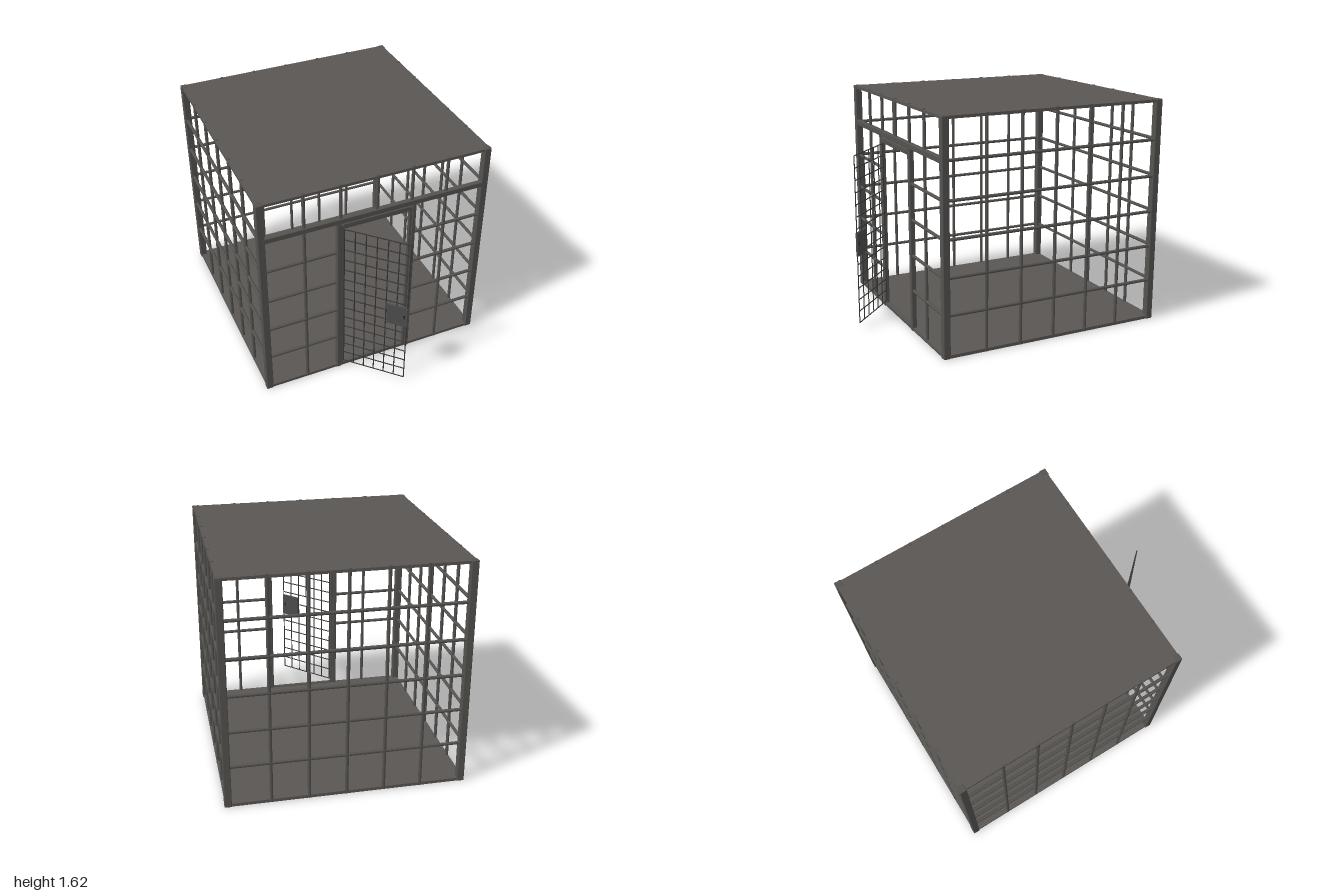
import * as THREE from 'three';
import { RoundedBoxGeometry } from 'three/addons/geometries/RoundedBoxGeometry.js';

export function createModel() {
  const model = new THREE.Group();
  model.name = 'cage';
  const material = (name, color) => {
    const m = new THREE.MeshStandardMaterial({ color });
    m.name = name;
    return m;
  };
  const plateSteel = material('plate steel', 0x5a5653);
  const barSteel = material('bar steel', 0x555350);
  const wireSteel = material('wire steel', 0x3a3938);
  const lockSteel = material('lock steel', 0x4c4c4c);
  const black = material('keyhole black', 0x161616);

  function add(parent, name, geometry, mat, x, y, z) {
    const mesh = new THREE.Mesh(geometry, mat);
    mesh.name = name;
    mesh.position.set(x, y, z);
    parent.add(mesh);
    return mesh;
  }
  const box = (parent, name, mat, w, h, d, x, y, z) =>
    add(parent, name, new THREE.BoxGeometry(w, h, d), mat, x, y, z);
  const beam = (name, w, h, d, x, y, z) =>
    add(model, name, new RoundedBoxGeometry(w, h, d, 2, 0.006), barSteel, x, y, z);

  // Round rod between two points
  function rod(parent, name, mat, r, a, b, sides = 10) {
    const from = new THREE.Vector3(...a), to = new THREE.Vector3(...b);
    const dir = to.clone().sub(from);
    const mesh = add(parent, name, new THREE.CylinderGeometry(r, r, dir.length(), sides), mat, 0, 0, 0);
    mesh.position.copy(from).add(to).multiplyScalar(0.5);
    mesh.quaternion.setFromUnitVectors(new THREE.Vector3(0, 1, 0), dir.normalize());
  }

  const CZ = -0.1625, HALF = 0.82, FRONT = CZ + HALF, BACK = CZ - HALF;
  const R = 0.0115, TOP = 1.622;
  const levels = [0.3, 0.558, 0.816, 1.074, 1.335];
  const columns = [-0.518, -0.259, 0, 0.259, 0.518];

  // Floor and roof plates
  box(model, 'floor', plateSteel, 1.66, 0.022, 1.66, 0, 0.012, CZ);
  box(model, 'roof', plateSteel, 1.66, 0.02, 1.66, 0, 1.608, CZ);

  // Corner posts
  for (const sx of [-1, 1]) {
    for (const sz of [-1, 1]) beam('cornerPost', 0.05, 1.62, 0.05, sx * 0.812, 0.81, CZ + sz * 0.812);
  }

  // Bars of the two side walls and the back wall
  for (const c of columns) {
    for (const s of [-1, 1]) rod(model, 'sideUpright', barSteel, R, [s * HALF, 0, CZ + c], [s * HALF, TOP, CZ + c]);
    rod(model, 'backUpright', barSteel, R, [c, 0, BACK], [c, TOP, BACK]);
  }
  for (const y of levels) {
    for (const s of [-1, 1]) rod(model, 'sideRail', barSteel, R, [s * HALF, y, BACK], [s * HALF, y, FRONT]);
    rod(model, 'backRail', barSteel, R, [-HALF, y, BACK], [HALF, y, BACK]);
  }

  // Front wall bars, leaving the doorway open
  for (const c of columns) {
    const bottom = Math.abs(c) > 0.4 ? 0 : 1.33;
    rod(model, 'frontUpright', barSteel, R, [c, bottom, FRONT], [c, TOP, FRONT]);
  }
  for (const y of levels.slice(0, 4)) {
    for (const s of [-1, 1]) rod(model, 'frontRail', barSteel, R, [s * 0.27, y, FRONT], [s * HALF, y, FRONT]);
  }
  beam('frontBeam', 1.6, 0.04, 0.036, 0, 1.335, FRONT);

  // Door frame
  for (const s of [-1, 1]) {
    beam('doorPost', 0.03, 1.32, 0.036, s * 0.275, 0.66, FRONT);
    beam('doorJamb', 0.024, 1.3, 0.026, s * 0.252, 0.65, FRONT);
  }
  beam('doorHeader', 0.5, 0.03, 0.036, 0, 1.297, FRONT);
  beam('doorHeaderStop', 0.5, 0.02, 0.026, 0, 1.276, FRONT);
  beam('doorSill', 0.5, 0.03, 0.026, 0, 0.017, FRONT);

  // Wire door, hinged on the right and swung open
  const door = new THREE.Group();
  door.name = 'door';
  door.position.set(-0.238, 0, 0.67);
  door.rotation.y = -Math.PI / 4;
  model.add(door);
  const W = 0.46, Y0 = 0.05, Y1 = 1.262;
  for (let i = 0; i <= 6; i++) {
    const x = (W * i) / 6;
    rod(door, 'doorUprightWire', wireSteel, 0.004, [x, Y0, 0], [x, Y1, 0], 6);
  }
  for (let i = 0; i <= 14; i++) {
    const y = Y0 + ((Y1 - Y0) * i) / 14;
    rod(door, 'doorCrossWire', wireSteel, 0.004, [0, y, 0], [W, y, 0], 6);
  }

  // Lock plate with a keyhole on both faces
  box(door, 'lockPlate', lockSteel, 0.148, 0.17, 0.014, W - 0.07, 0.63, 0);
  for (const s of [-1, 1]) {
    const hole = add(door, 'keyhole', new THREE.CylinderGeometry(0.007, 0.007, 0.002, 12), black, W - 0.018, 0.638, s * 0.0075);
    hole.rotation.x = Math.PI / 2;
    box(door, 'keyholeSlot', black, 0.006, 0.022, 0.002, W - 0.018, 0.626, s * 0.0075);
  }
  return model;
}
